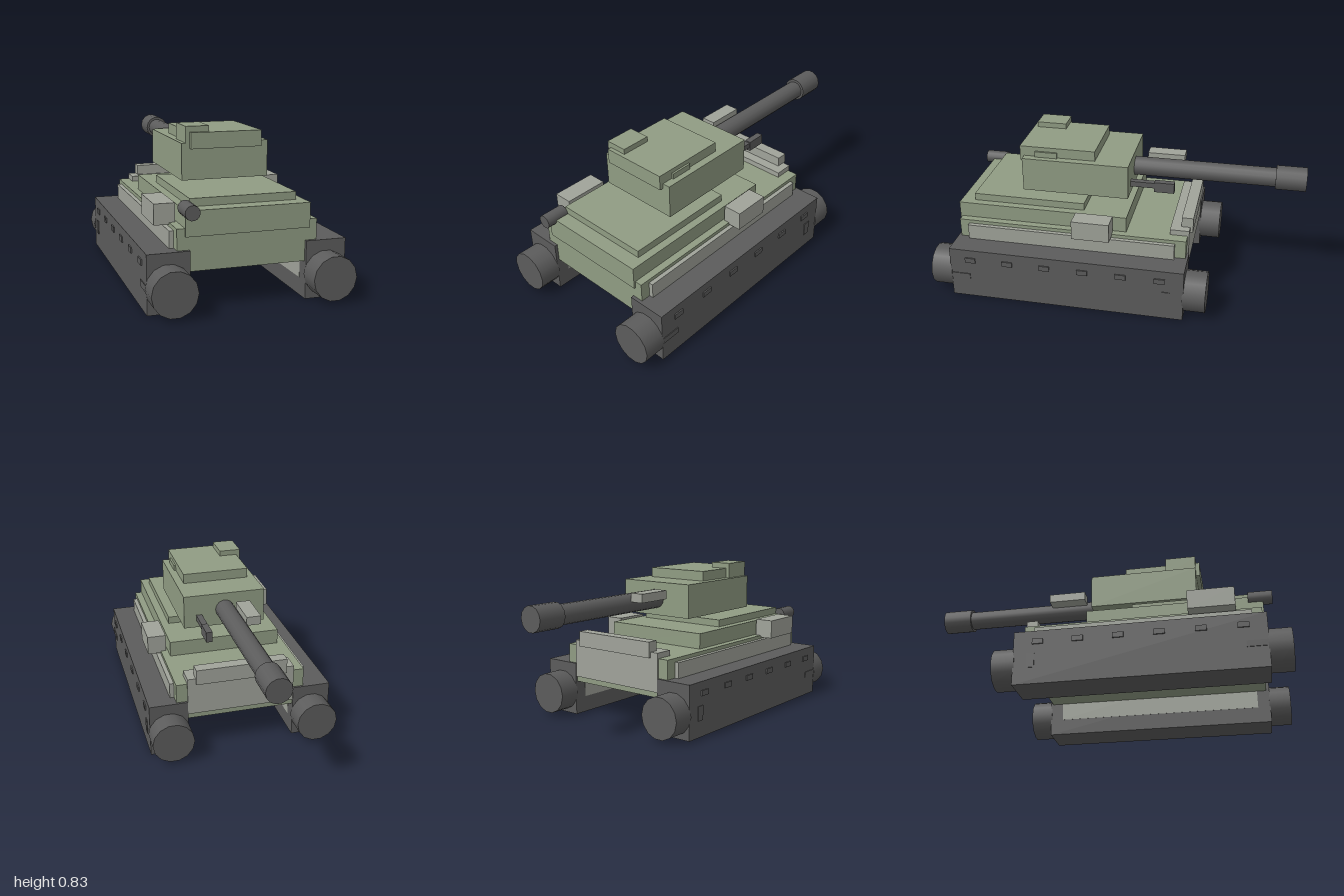
import * as THREE from 'three';

const green = new THREE.MeshStandardMaterial({ color: 0x909c83 });
green.name = 'armour green';
const dark = new THREE.MeshStandardMaterial({ color: 0x5c5c5c });
dark.name = 'dark steel';
const grey = new THREE.MeshStandardMaterial({ color: 0xa0a39a });
grey.name = 'light grey';

export function createModel() {
  const model = new THREE.Group();
  model.name = 'tank';

  const add = (name, geometry, material) => {
    const mesh = new THREE.Mesh(geometry, material);
    mesh.name = name;
    model.add(mesh);
    return mesh;
  };
  // Box given by its extents along each axis
  const box = (name, material, [x0, x1], [y0, y1], [z0, z1]) =>
    add(name, new THREE.BoxGeometry(x1 - x0, y1 - y0, z1 - z0), material)
      .position.set((x0 + x1) / 2, (y0 + y1) / 2, (z0 + z1) / 2);
  // The same box on either side
  const boxPair = (name, material, [x0, x1], y, z) => {
    box(name + 'Left', material, [x0, x1], y, z);
    box(name + 'Right', material, [-x1, -x0], y, z);
  };
  // Cylinder lying along z, with corners on the x axis
  const rod = (name, x, y, r, z0, z1, sides) => {
    const geometry = new THREE.CylinderGeometry(r, r, z1 - z0, sides);
    geometry.rotateY(Math.PI / 2).rotateX(Math.PI / 2);
    add(name, geometry, dark).position.set(x, y, (z0 + z1) / 2);
  };

  // Hull and its stepped deck
  box('hull', green, [-0.355, 0.355], [0.19, 0.4], [-0.4, 0.868]);
  box('engineDeck', green, [-0.315, 0.315], [0.36, 0.485], [-0.068, 0.878]);
  box('turretBase', green, [-0.272, 0.272], [0.47, 0.525], [0.175, 0.8]);
  boxPair('sideSkirt', grey, [0.294, 0.378], [0.09, 0.38], [-0.34, 0.815]);

  // Plates at the gun end of the hull
  box('glacisPlate', grey, [-0.295, 0.295], [0.22, 0.43], [-0.408, -0.303]);
  box('glacisBar', grey, [-0.25, 0.25], [0.4, 0.485], [-0.423, -0.36]);

  // Tracks, end rollers and raised fittings
  boxPair('track', dark, [0.295, 0.505], [0, 0.295], [-0.412, 0.885]);
  for (const side of [1, -1]) {
    rod('rearRoller', side * 0.4, 0.128, 0.113, 0.88, 1, 14);
    rod('frontRoller', side * 0.4, 0.128, 0.113, -0.528, -0.405, 14);
  }
  for (let i = 0; i < 6; i++) {
    const z = 0.767 - i * 0.21;
    boxPair('trackLug', dark, [0.49, 0.512], [0.219, 0.248], [z - 0.029, z + 0.029]);
  }
  boxPair('trackBracket', dark, [0.49, 0.509], [0.09, 0.168], [-0.338, -0.298]);
  boxPair('trackHook', dark, [0.49, 0.509], [0.112, 0.145], [0.775, 0.887]);

  // Stowage boxes and exhaust
  box('stowageBoxLeft', grey, [0.325, 0.428], [0.39, 0.495], [0.005, 0.21]);
  box('stowageBoxRight', grey, [-0.43, -0.325], [0.39, 0.495], [0.488, 0.735]);
  rod('exhaust', -0.295, 0.484, 0.037, 0.8, 0.927, 14);

  // Turret
  box('turret', green, [-0.23, 0.23], [0.557, 0.745], [-0.06, 0.528]);
  box('turretRoof', green, [-0.188, 0.187], [0.717, 0.8], [0.13, 0.55]);
  box('hatch', green, [-0.21, -0.087], [0.73, 0.83], [0.361, 0.528]);
  box('roofVent', green, [0.15, 0.198], [0.735, 0.776], [0.34, 0.464]);

  // Main gun with sight box, and coaxial gun
  rod('barrel', -0.002, 0.651, 0.053, -0.85, -0.05, 14);
  rod('muzzle', -0.002, 0.652, 0.067, -1, -0.835, 14);
  box('gunSight', grey, [-0.127, -0.048], [0.665, 0.713], [-0.33, -0.122]);
  box('coaxialGun', dark, [0.128, 0.161], [0.6, 0.63], [-0.245, -0.05]);
  box('coaxialMuzzle', dark, [0.13, 0.165], [0.58, 0.637], [-0.302, -0.193]);

  return model;
}
